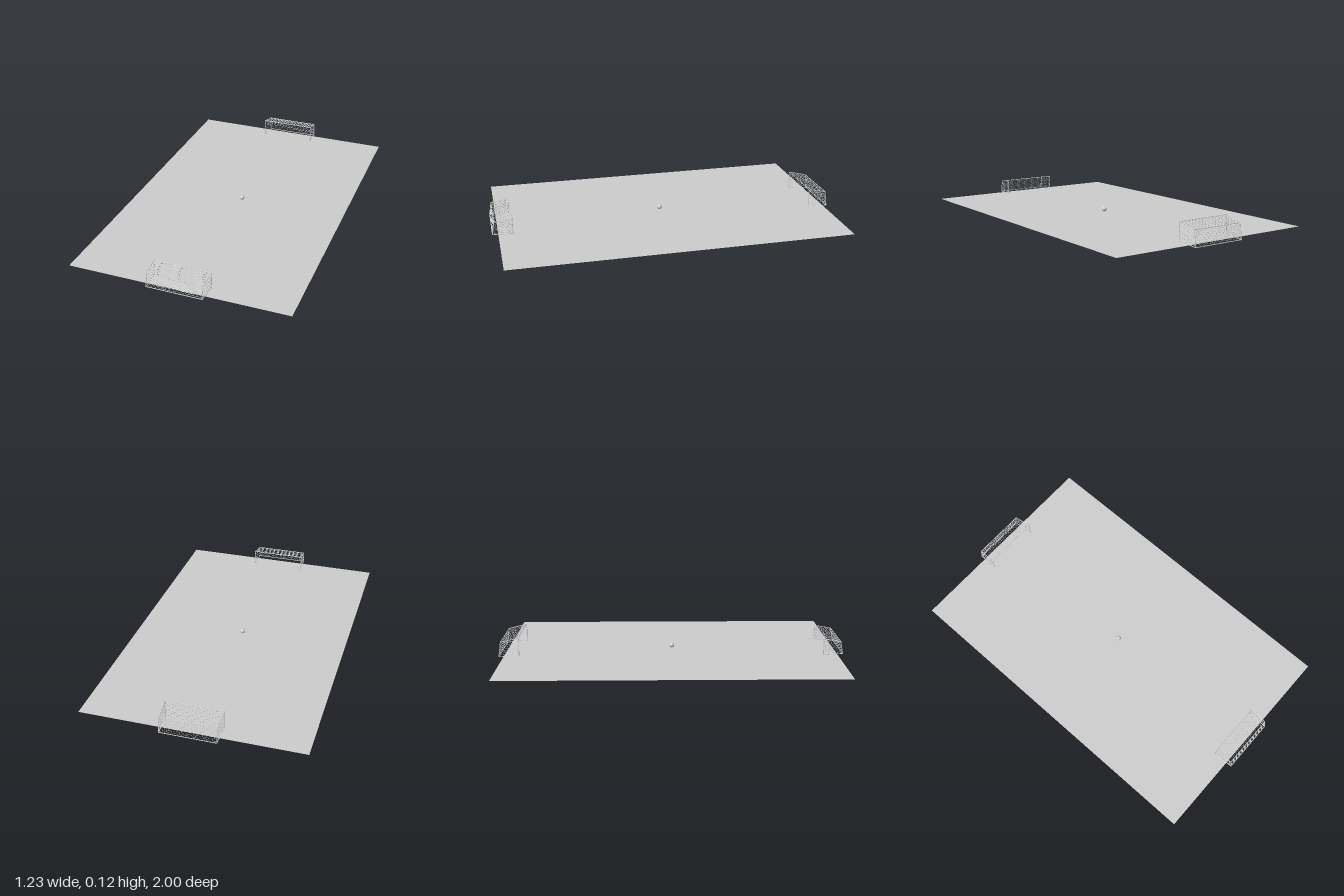
import * as THREE from 'three';
import { mergeGeometries } from 'three/addons/utils/BufferGeometryUtils.js';

const material = new THREE.MeshStandardMaterial({ color: 0xcccccc, flatShading: true, side: THREE.DoubleSide });
const UP = new THREE.Vector3(0, 1, 0);

function mesh(name, geometry) {
  const m = new THREE.Mesh(geometry, material);
  m.name = name;
  return m;
}

// Straight bar or cord between two points
function rod(a, b, radius, sides, open = false) {
  const dir = b.clone().sub(a);
  const g = new THREE.CylinderGeometry(radius, radius, dir.length(), sides, 1, open);
  g.applyQuaternion(new THREE.Quaternion().setFromUnitVectors(UP, dir.normalize()));
  const mid = a.clone().add(b).multiplyScalar(0.5);
  return g.translate(mid.x, mid.y, mid.z);
}

// Hexagonal netting stretched over the quad a-b (lower edge), d-c (upper edge)
function net(name, [a, b, c, d], cells, rows) {
  const cords = [];
  const point = (i, j) => {
    const shift = (i + j) % 2 ? 0.17 : -0.17;
    const v = THREE.MathUtils.clamp((j + shift) / rows, 0, 1);
    const low = a.clone().lerp(b, i / (2 * cells));
    const high = d.clone().lerp(c, i / (2 * cells));
    return low.lerp(high, v);
  };
  for (let j = 0; j <= rows; j++) {
    for (let i = 0; i <= 2 * cells; i++) {
      if (i < 2 * cells) cords.push(rod(point(i, j), point(i + 1, j), 0.0007, 3, true));
      if (j < rows && (i + j) % 2) cords.push(rod(point(i, j), point(i, j + 1), 0.0007, 3, true));
    }
  }
  return mesh(name, mergeGeometries(cords));
}

// Goal from its side profile [z, y]: front foot, front top, rear top, rear foot
function goal(name, profile) {
  const group = new THREE.Group();
  group.name = name;
  const halfWidths = [0.16, 0.16, 0.155, 0.155];
  const side = (s) => profile.map(([z, y], i) => new THREE.Vector3(0.002 + s * halfWidths[i], y, z));
  const L = side(1), R = side(-1);

  // Frame tubes along both sides, then across
  const bars = [];
  for (const S of [L, R]) {
    for (let i = 0; i < 4; i++) bars.push(rod(S[i], S[(i + 1) % 4], 0.002, 6));
  }
  for (const i of [1, 2, 3]) bars.push(rod(R[i], L[i], 0.002, 6));
  group.add(mesh('goalFrame', mergeGeometries(bars)));

  // Netting on the rear, roof and both sides
  group.add(net('rearNet', [R[3], L[3], L[2], R[2]], 14, 8));
  group.add(net('roofNet', [R[2], L[2], L[1], R[1]], 14, 9));
  group.add(net('leftNet', [L[0], L[3], L[2], L[1]], 6, 8));
  group.add(net('rightNet', [R[0], R[3], R[2], R[1]], 6, 8));
  return group;
}

export function createModel() {
  const model = new THREE.Group();
  model.name = 'footballPitch';

  // Paper-thin field
  const field = mesh('field', new THREE.PlaneGeometry(1.234, 1.932).rotateX(-Math.PI / 2));
  field.position.y = 0.01;
  model.add(field);

  // The two goals sit at slightly different tilts
  model.add(goal('frontGoal', [[0.885, 0.011], [0.885, 0.101], [0.985, 0.084], [0.998, 0.013]]));
  model.add(goal('backGoal', [[-0.88, 0.013], [-0.878, 0.115], [-0.985, 0.09], [-0.998, 0.002]]));

  // Ball on the centre spot
  const ball = mesh('ball', new THREE.IcosahedronGeometry(0.015, 2));
  ball.position.set(0, 0.025, 0.006);
  model.add(ball);
  return model;
}
